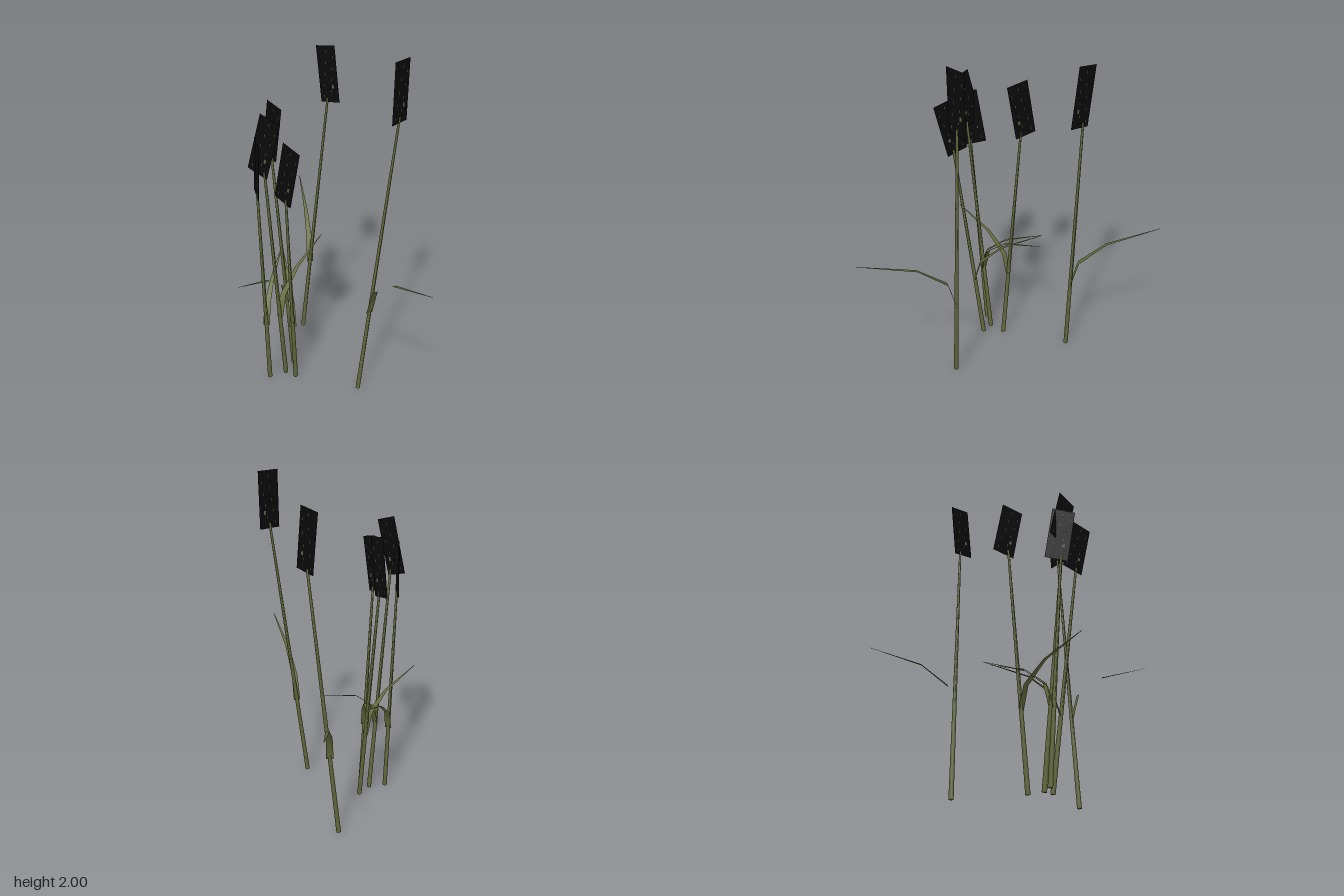
import * as THREE from 'three';

const olive = new THREE.MeshStandardMaterial({ color: 0x656b3d, side: THREE.DoubleSide });
olive.name = 'olive stalk';
const black = new THREE.MeshStandardMaterial({ color: 0x0a0a0a, side: THREE.DoubleSide });
black.name = 'black seed head';
const tan = new THREE.MeshStandardMaterial({ color: 0x67614e });
tan.name = 'tan fleck';

const HEAD_WIDTH = 0.134, HEAD_HEIGHT = 0.333;

function named(geometry, material, name) {
  const mesh = new THREE.Mesh(geometry, material);
  mesh.name = name;
  return mesh;
}

// Tapered straight stalk between two points
function makeStem(base, top) {
  const dir = top.clone().sub(base);
  const stem = named(new THREE.CylinderGeometry(0.007, 0.014, dir.length(), 4), olive, 'stem');
  stem.position.copy(base).add(top).multiplyScalar(0.5);
  stem.quaternion.setFromUnitVectors(new THREE.Vector3(0, 1, 0), dir.normalize());
  return stem;
}

// Blade that rises steeply, bends outward twice and tapers to its tip
function makeLeaf(start, tip) {
  const reach = [0, 0.085, 0.4, 1], rise = [0, 0.4, 0.73, 1];
  const halfWidth = [0.021, 0.018, 0.011, 0.002];
  const span = tip.clone().sub(start);
  const side = new THREE.Vector3(span.z, 0, -span.x).normalize();
  const pos = [], index = [];
  reach.forEach((r, i) => {
    const mid = start.clone().add(new THREE.Vector3(span.x * r, span.y * rise[i], span.z * r));
    for (const s of [-1, 1]) pos.push(...mid.clone().addScaledVector(side, s * halfWidth[i]).toArray());
    if (i) {
      const k = 2 * i;
      index.push(k - 2, k - 1, k, k - 1, k + 1, k);
    }
  });
  const g = new THREE.BufferGeometry();
  g.setAttribute('position', new THREE.Float32BufferAttribute(pos, 3));
  g.setIndex(index);
  g.computeVertexNormals();
  return named(g, olive, 'leaf');
}

// Flat upright seed head, leaning within its own plane
function makeHead(centre, turn, tilt) {
  const head = new THREE.Group();
  head.name = 'seedHead';
  head.add(named(new THREE.PlaneGeometry(HEAD_WIDTH, HEAD_HEIGHT), black, 'headCard'));
  // Sparse flecks showing on both faces
  for (let i = 0; i < 9; i++) {
    const fleck = named(new THREE.BoxGeometry(0.004, 0.014, 0.003), tan, 'fleck');
    fleck.position.set((((i * 5) % 9) / 9 - 0.42) * HEAD_WIDTH * 0.75, (i / 8 - 0.5) * HEAD_HEIGHT * 0.8, 0);
    head.add(fleck);
  }
  const patch = named(new THREE.BoxGeometry(0.014, 0.022, 0.003), tan, 'fleckPatch');
  patch.position.set(HEAD_WIDTH * 0.22, -HEAD_HEIGHT * 0.22, 0);
  head.add(patch);
  head.rotation.set(0, -turn, tilt);
  head.position.copy(centre);
  return head;
}

function makeReed(base, top, centre, turn, tilt, leafHeight, leafTip) {
  const reed = new THREE.Group();
  reed.name = 'reed';
  const a = new THREE.Vector3(...base), b = new THREE.Vector3(...top);
  const leafStart = a.clone().lerp(b, leafHeight / b.y);
  reed.add(
    makeStem(a, b),
    makeHead(new THREE.Vector3(...centre), turn, tilt),
    makeLeaf(leafStart, new THREE.Vector3(...leafTip)),
  );
  return reed;
}

export function createModel() {
  const model = new THREE.Group();
  model.name = 'reedClump';
  model.add(
    // Two outer reeds, back and front
    makeReed([0.06, 0, -0.36], [0.215, 1.61, -0.36], [0.213, 1.755, -0.357], 0.92, 0.135, 0.5, [0.165, 0.895, -0.865]),
    makeReed([0.22, 0, 0.36], [0.41, 1.7, 0.305], [0.41, 1.835, 0.305], -0.62, 0, 0.53, [0.42, 0.945, 0.865]),
    // Clump of four
    makeReed([-0.275, 0, 0.12], [-0.33, 1.3, 0.195], [-0.33, 1.44, 0.193], 1.57, -0.155, 0.41, [-0.11, 0.725, -0.22]),
    makeReed([-0.17, 0, 0.105], [-0.292, 1.43, 0.215], [-0.293, 1.57, 0.215], 0.88, -0.29, 0.45, [0.127, 0.8, -0.164]),
    makeReed([-0.12, 0, 0.157], [-0.2, 1.3, 0.305], [-0.195, 1.44, 0.315], 1.11, -0.235, 0.41, [-0.11, 0.725, -0.22]),
    makeReed([-0.1, 0, 0.03], [-0.19, 1.4, -0.09], [-0.185, 1.533, -0.092], 1.165, -0.18, 0.45, [-0.466, 0.78, 0.27]),
  );
  return model;
}
